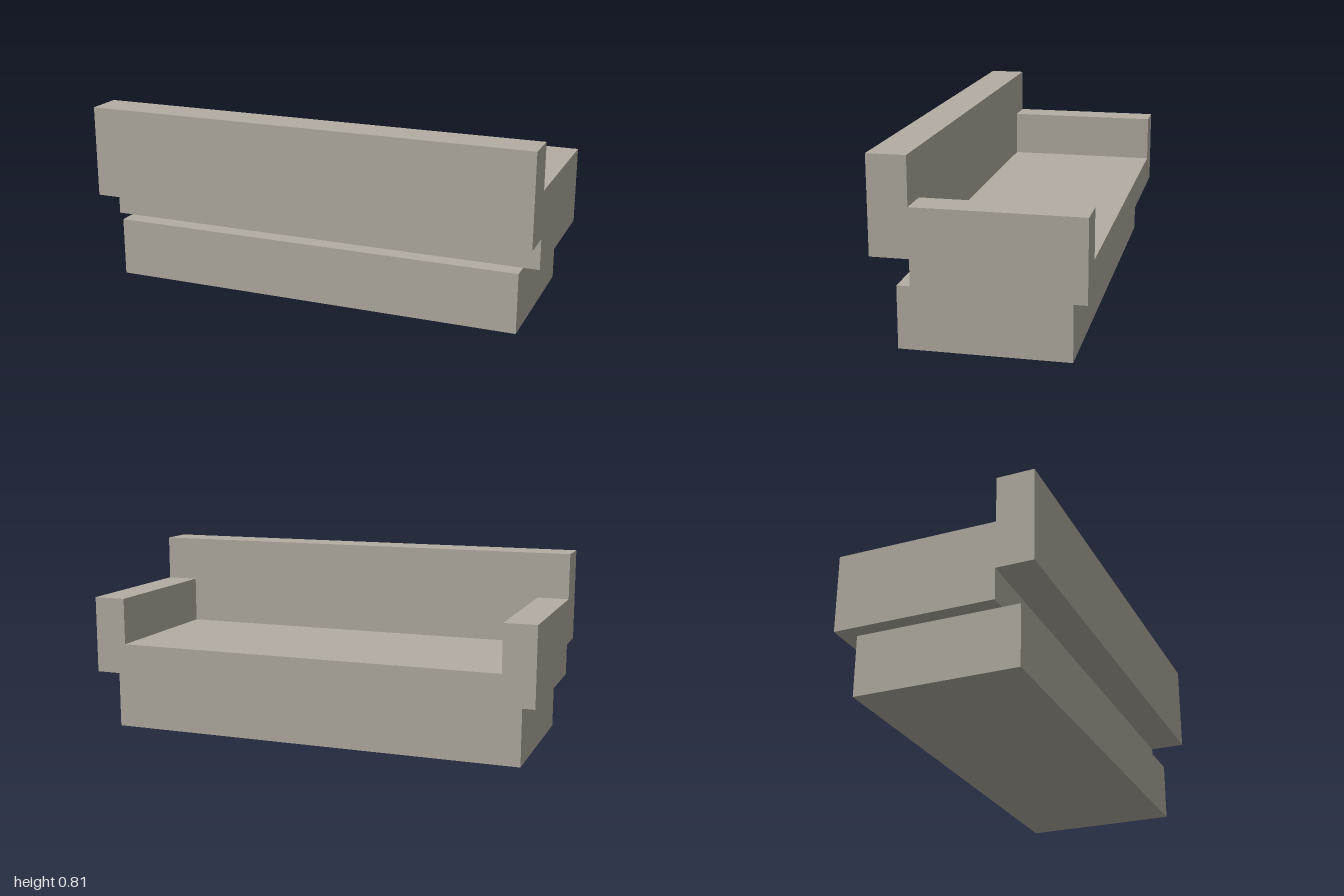
import * as THREE from 'three';

const stone = new THREE.MeshStandardMaterial({ color: 0xb3ada2 });
stone.name = 'warm grey';

// Box given by its extents along each axis
function block(name, [x0, x1], [y0, y1], [z0, z1]) {
  const mesh = new THREE.Mesh(new THREE.BoxGeometry(x1 - x0, y1 - y0, z1 - z0), stone);
  mesh.position.set((x0 + x1) / 2, (y0 + y1) / 2, (z0 + z1) / 2);
  mesh.name = name;
  return mesh;
}

export function createModel() {
  const sofa = new THREE.Group();
  sofa.name = 'sofa';

  const seatZ = [-0.426, 0.266];
  const seatTop = 1.215;

  // Plinth, slightly narrower than the seat and set towards the backrest
  sofa.add(block('base', [-0.934, 0.931], [0.816, 1.08], [-0.36, 0.344]));

  // Seat slab, full width
  sofa.add(block('seat', [-1, 1], [1.08, seatTop], seatZ));

  // Armrests rising from both ends of the seat
  sofa.add(block('leftArm', [0.856, 1], [seatTop, 1.421], seatZ));
  sofa.add(block('rightArm', [-1, -0.861], [seatTop, 1.421], seatZ));

  // Backrest hung behind the seat on the +z side
  sofa.add(block('backrest', [-1, 1], [seatTop, 1.622], [0.266, 0.427]));

  return sofa;
}
